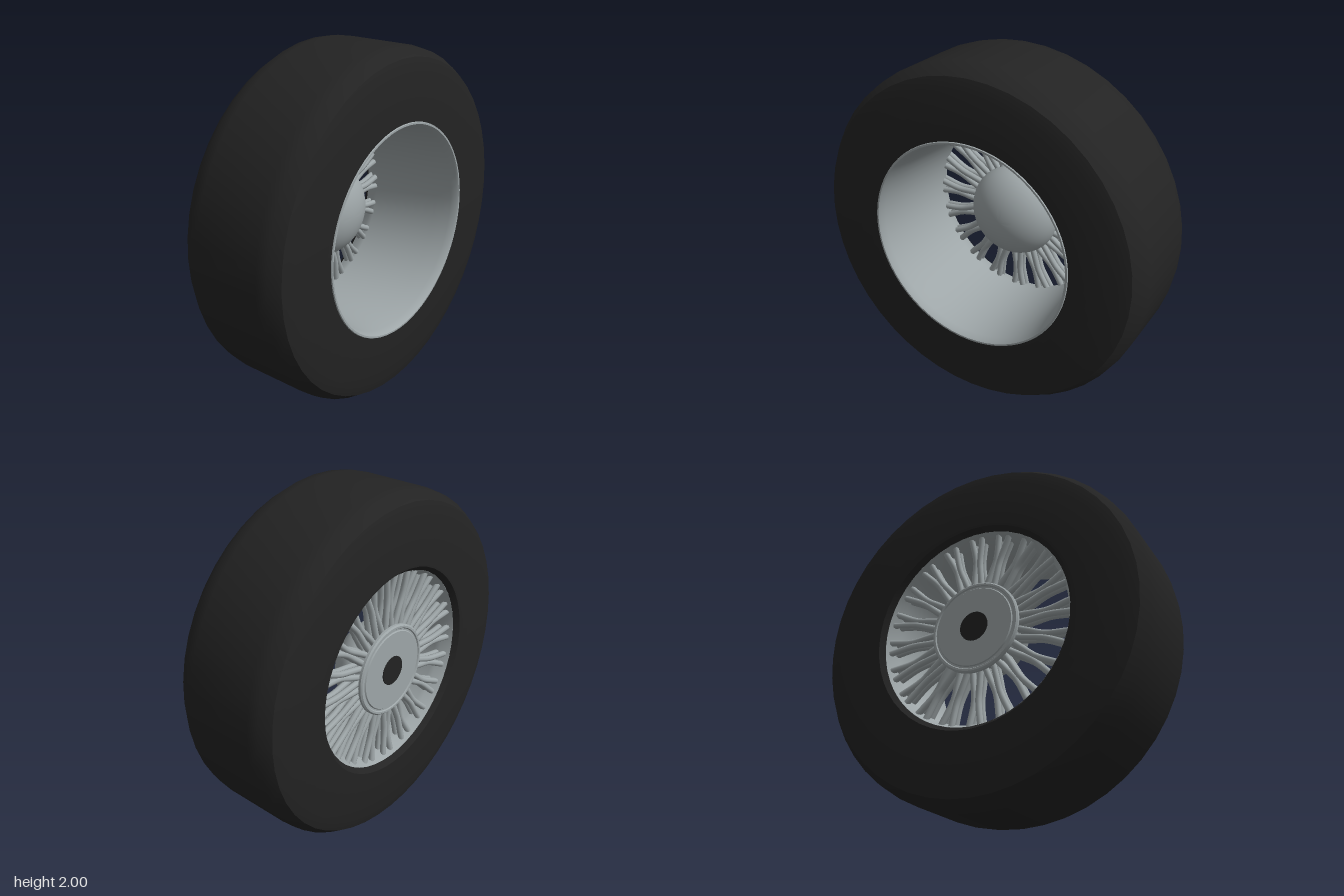
import * as THREE from 'three';
import { toCreasedNormals } from 'three/addons/utils/BufferGeometryUtils.js';

const rubber = new THREE.MeshStandardMaterial({ color: 0x232323 });
rubber.name = 'black rubber';
const metal = new THREE.MeshStandardMaterial({ color: 0x9ea6a8 });
metal.name = 'grey metal';

// Lathe of [radius, z] points about the wheel axle (z)
function turned(name, points, material, segments) {
  const geo = new THREE.LatheGeometry(points.map(([r, z]) => new THREE.Vector2(r, z)), segments);
  geo.rotateX(Math.PI / 2);
  const mesh = new THREE.Mesh(toCreasedNormals(geo, 0.65), material);
  mesh.name = name;
  return mesh;
}

// Point given by radius, angle in degrees and z
function polar(r, deg, z) {
  const a = THREE.MathUtils.degToRad(deg);
  return new THREE.Vector3(r * Math.cos(a), r * Math.sin(a), z);
}

export function createModel() {
  const wheel = new THREE.Group();
  wheel.name = 'wheel';

  // Tyre with rounded shoulders
  wheel.add(turned('tyre', [
    [0.575, -0.31], [0.6, -0.34], [0.88, -0.34], [0.95, -0.32], [0.99, -0.26], [1, -0.2],
    [1, 0.2], [0.99, 0.26], [0.95, 0.32], [0.88, 0.34], [0.6, 0.34], [0.6, 0.3], [0.575, -0.31],
  ], rubber, 48));

  // Deep rim: front lip, tapering barrel, flared rear edge
  wheel.add(turned('rim', [
    [0.58, -0.31], [0.59, -0.2], [0.605, 0.3], [0.613, 0.335], [0.608, 0.346], [0.598, 0.346],
    [0.59, 0.335], [0.582, 0.3], [0.57, 0.2], [0.54, -0.22], [0.545, -0.25], [0.574, -0.31], [0.58, -0.31],
  ], metal, 64));

  // Hub: rear flange with a groove, neck, front dome
  const hub = [
    [0, -0.3], [0.228, -0.3], [0.233, -0.294], [0.242, -0.294], [0.247, -0.3],
    [0.258, -0.3], [0.266, -0.292], [0.266, -0.278], [0.24, -0.27], [0.24, -0.205], [0.265, -0.205],
  ];
  for (let i = 0; i <= 14; i++) {
    const a = (i / 14) * Math.PI / 2;
    hub.push([i === 14 ? 0 : 0.27 * Math.cos(a), -0.19 + 0.2 * Math.sin(a)]);
  }
  wheel.add(turned('hub', hub, metal, 48));

  // Dark axle bore on the rear face
  wheel.add(turned('axleBore', [[0, -0.304], [0.085, -0.304], [0.085, -0.299]], rubber, 32));

  // Spokes: two layers of pairs that pinch together halfway out
  const spokes = new THREE.Group();
  spokes.name = 'spokes';
  const layers = [
    { name: 'frontSpoke', hubZ: -0.21, midZ: -0.225, rimZ: -0.235 },
    { name: 'rearSpoke', hubZ: -0.262, midZ: -0.262, rimZ: -0.275 },
  ];
  for (const layer of layers) {
    for (const side of [-1, 1]) {
      const path = new THREE.CatmullRomCurve3([
        polar(0.23, side * 6.5, layer.hubZ),
        polar(0.33, side * 3.2, (layer.hubZ + layer.midZ) / 2),
        polar(0.42, side * 1.7, layer.midZ),
        polar(0.565, side * 3.4, layer.rimZ),
      ]);
      const geo = new THREE.TubeGeometry(path, 9, 0.018, 8);
      for (let i = 0; i < 20; i++) {
        const spoke = new THREE.Mesh(geo, metal);
        spoke.name = layer.name;
        spoke.rotation.z = (i / 20) * Math.PI * 2;
        spokes.add(spoke);
      }
    }
  }
  wheel.add(spokes);

  wheel.position.y = 1;
  const model = new THREE.Group();
  model.name = 'wireWheel';
  model.add(wheel);
  return model;
}
